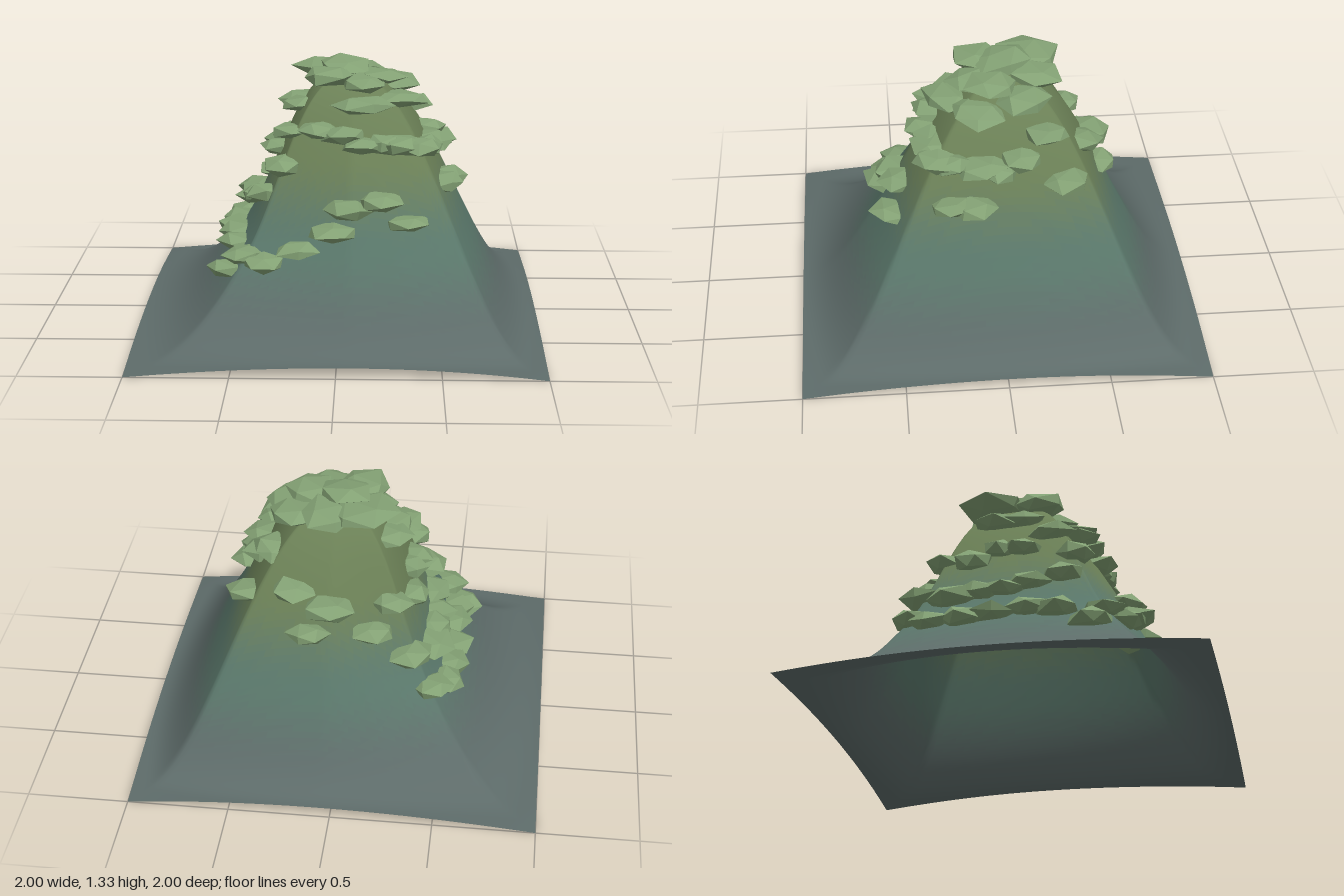
import * as THREE from 'three';

const { smoothstep } = THREE.MathUtils;

let seed = 11;
const rand = () => {
  seed = (seed * 16807) % 2147483647;
  return seed / 2147483647;
};

// Height of the hill: a bell over a bulged square, peak off centre, gentler on the -x side
function hillHeight(x, z) {
  const px = x - 0.06 * (1 - x * x);
  const pz = z + 0.05 * (1 - z * z) ** 2;
  const ax = Math.abs(px), az = Math.abs(pz);
  const big = Math.max(ax, az), small = Math.min(ax, az);
  const q = big > 0 ? small / big : 0;
  const r = Math.min(1, big * (1 + 0.1 * q * q));
  const west = Math.min(1, Math.max(0, -px / (Math.hypot(px, pz) || 1)) * 1.4);
  const power = 1.12 - 0.31 * west * smoothstep(r, 0.1, 0.55);
  const bell = 0.5 * (1 + Math.cos(Math.PI * Math.pow(r, power)));
  return 0.055 + 1.2 * bell - 0.055 * q * q * Math.pow(big, 4);
}

// Ground colour by height: slate, then teal, then olive
const slate = new THREE.Color(0x5d6b69);
const teal = new THREE.Color(0x5a786b);
const olive = new THREE.Color(0x6b8056);
function groundColor(y) {
  return y < 0.5
    ? slate.clone().lerp(teal, smoothstep(y, 0.15, 0.5))
    : teal.clone().lerp(olive, smoothstep(y, 0.5, 0.9));
}

// Hill shell from concentric square rings, split into bands tinted by height
function makeHill() {
  const hill = new THREE.Group();
  hill.name = 'hill';
  const rings = 64, perSide = 48, around = perSide * 4, bandCount = 32;
  const positions = [], all = [];
  const bands = Array.from({ length: bandCount }, () => []);

  for (let k = 0; k <= rings; k++) {
    const t = k / rings;
    for (let j = 0; j < around; j++) {
      let x = t, z = t * (2 * (j % perSide) / perSide - 1);
      for (let s = 0; s < Math.floor(j / perSide); s++) [x, z] = [-z, x];
      positions.push(x, hillHeight(x, z), z);
    }
  }
  for (let k = 0; k < rings; k++) {
    for (let j = 0; j < around; j++) {
      const a = k * around + j, b = k * around + (j + 1) % around;
      const c = a + around, d = b + around;
      const y = (positions[a * 3 + 1] + positions[d * 3 + 1]) / 2;
      bands[Math.min(bandCount - 1, Math.floor(y / 1.26 * bandCount))].push(a, b, c, b, d, c);
      all.push(a, b, c, b, d, c);
    }
  }

  const shell = new THREE.BufferGeometry();
  shell.setAttribute('position', new THREE.Float32BufferAttribute(positions, 3));
  shell.setIndex(all);
  shell.computeVertexNormals();

  bands.forEach((band, i) => {
    if (!band.length) return;
    shell.setIndex(band);
    const material = new THREE.MeshStandardMaterial({
      color: groundColor((i + 0.5) / bandCount * 1.26), side: THREE.DoubleSide,
    });
    const mesh = new THREE.Mesh(shell.toNonIndexed(), material);
    mesh.name = 'hillBand' + (i + 1);
    hill.add(mesh);
  });
  return hill;
}

// Flattened, faceted stone; shared corners move together
function makeStone(radius, height) {
  const geometry = new THREE.IcosahedronGeometry(1, 0);
  const p = geometry.attributes.position;
  const moved = new Map(), v = new THREE.Vector3();
  for (let i = 0; i < p.count; i++) {
    v.fromBufferAttribute(p, i);
    const key = v.toArray().map((n) => Math.round(n * 100)).join();
    if (!moved.has(key)) moved.set(key, 0.85 + 0.35 * rand());
    v.multiplyScalar(moved.get(key));
    p.setXYZ(i, v.x * radius, v.y * height, v.z * radius);
  }
  geometry.computeVertexNormals();
  return geometry;
}

// Stone positions (x, z): summit first, then the flanks
const summit = [
  0.12, 0.12, 0.2, 0.02, 0.02, -0.04, -0.06, 0.06, 0.1, -0.2, -0.06, -0.17, 0.27, -0.13,
  0.3, 0.1, 0.12, 0.22,
];
const flanks = [
  // back and right
  0.16, -0.52, 0.25, -0.42, 0.06, -0.46, -0.15, -0.46, 0.47, -0.32, 0.36, -0.24, 0.43, -0.1,
  0.46, 0, 0.44, 0.1, 0.53, 0.12, 0.52, 0.24, 0.42, 0.24, 0.4, 0.3,
  // front
  0.3, 0.32, 0.22, 0.33, 0.12, 0.34, 0.34, 0.52, 0.2, 0.48, 0.04, 0.5, -0.02, 0.54,
  -0.2, 0.54, -0.36, 0.53, 0.02, 0.3, -0.1, 0.26,
  // left
  -0.54, 0.4, -0.46, 0.46, -0.28, 0.3, -0.36, 0.24, -0.5, 0.24, -0.5, 0.1, -0.4, 0.08,
  -0.24, 0.16, -0.3, 0.04, -0.2, 0, -0.3, -0.08, -0.42, -0.04, -0.52, -0.08, -0.52, -0.22,
  -0.42, -0.16, -0.32, -0.22, -0.2, -0.12, -0.42, -0.3, -0.5, -0.38, -0.45, -0.5,
  -0.34, -0.46, -0.24, -0.38,
];

function makeStones() {
  const stones = new THREE.Group();
  stones.name = 'stones';
  const material = new THREE.MeshStandardMaterial({ color: 0x83a174, flatShading: true });
  const scatter = (spots, minSize, spread, lift, name) => {
    for (let i = 0; i < spots.length; i += 2) {
      const size = minSize + spread * rand();
      const stone = new THREE.Mesh(makeStone(size, 0.04 + 0.012 * rand()), material);
      const x = spots[i], z = spots[i + 1];
      stone.position.set(x, hillHeight(x, z) + lift, z);
      stone.rotation.set(0.16 * (rand() - 0.5), rand() * 6.28, 0.16 * (rand() - 0.5));
      stone.name = name + (i / 2 + 1);
      stones.add(stone);
    }
  };
  scatter(summit, 0.13, 0.04, 0.025, 'summitStone');
  scatter(flanks, 0.09, 0.045, 0.01, 'flankStone');
  return stones;
}

export function createModel() {
  const model = new THREE.Group();
  model.name = 'rockyHill';
  model.add(makeHill(), makeStones());
  return model;
}
